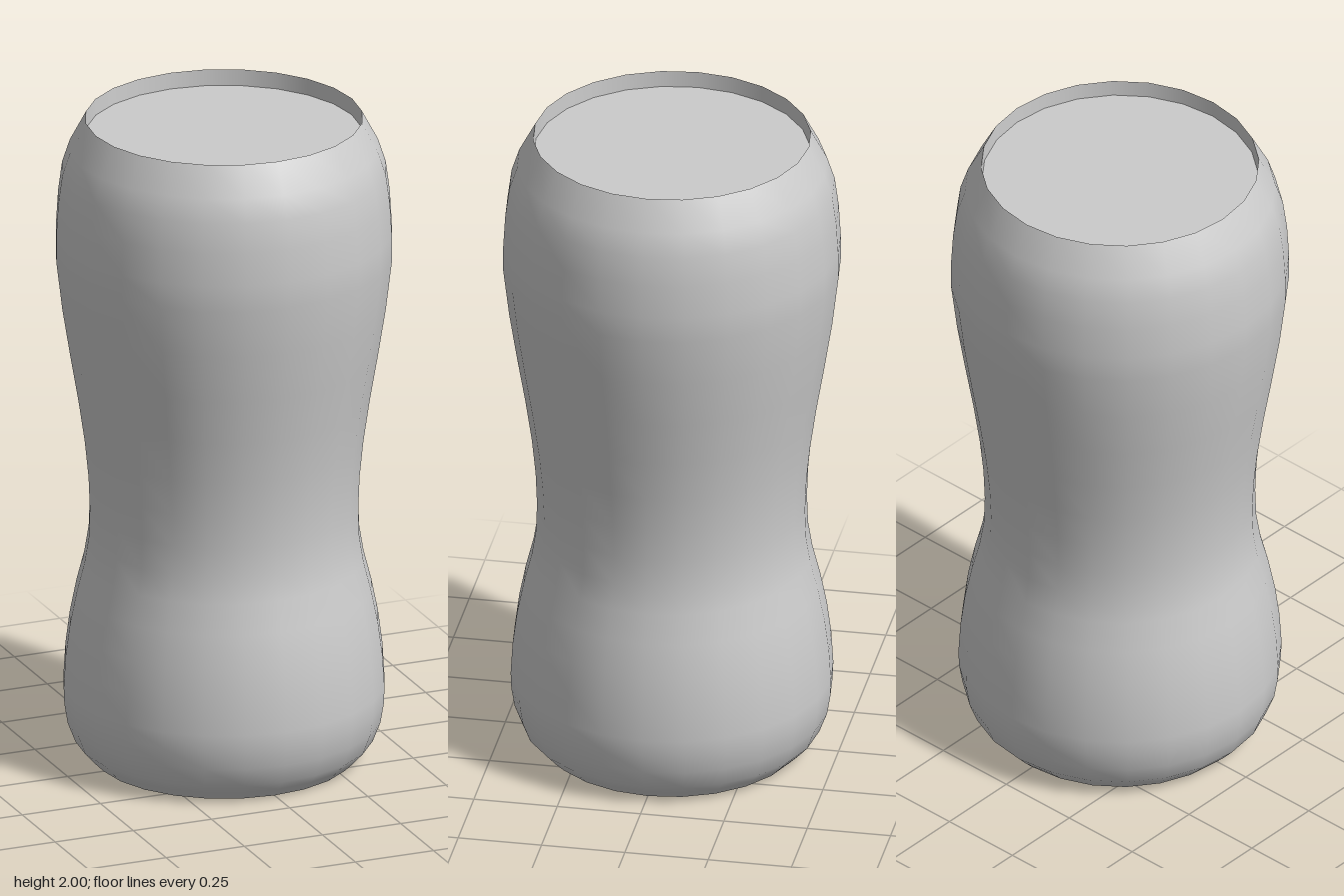
import * as THREE from 'three';

const SEGMENTS = 24;

export function createModel() {
  const group = new THREE.Group();
  const material = new THREE.MeshStandardMaterial({ color: 0xcccccc });

  const addPart = (name, geometry) => {
    const mesh = new THREE.Mesh(geometry, material);
    mesh.name = name;
    group.add(mesh);
    return mesh;
  };
  const lathe = (profile) =>
    new THREE.LatheGeometry(profile.map(([r, y]) => new THREE.Vector2(r, y)), SEGMENTS);

  // Waisted outer wall, from the foot up to the rim
  addPart('body', lathe([
    [0.385, 0], [0.415, 0.03], [0.442, 0.06], [0.465, 0.12], [0.475, 0.18], [0.477, 0.23],
    [0.471, 0.33], [0.458, 0.43], [0.438, 0.53], [0.415, 0.62], [0.402, 0.70],
    [0.399, 0.79], [0.403, 0.89], [0.414, 1.00], [0.433, 1.13], [0.457, 1.27],
    [0.481, 1.42], [0.499, 1.57], [0.499, 1.65], [0.493, 1.75], [0.481, 1.84],
    [0.458, 1.91], [0.41, 2],
  ]));

  // Short inner wall below the rim
  addPart('innerRim', lathe([[0.41, 2], [0.408, 1.95]]));

  // Recessed flat top
  const top = addPart('topDisc', new THREE.CircleGeometry(0.408, SEGMENTS));
  top.rotation.x = -Math.PI / 2;
  top.position.y = 1.95;

  // Flat underside
  const base = addPart('baseDisc', new THREE.CircleGeometry(0.385, SEGMENTS));
  base.rotation.x = Math.PI / 2;

  return group;
}
